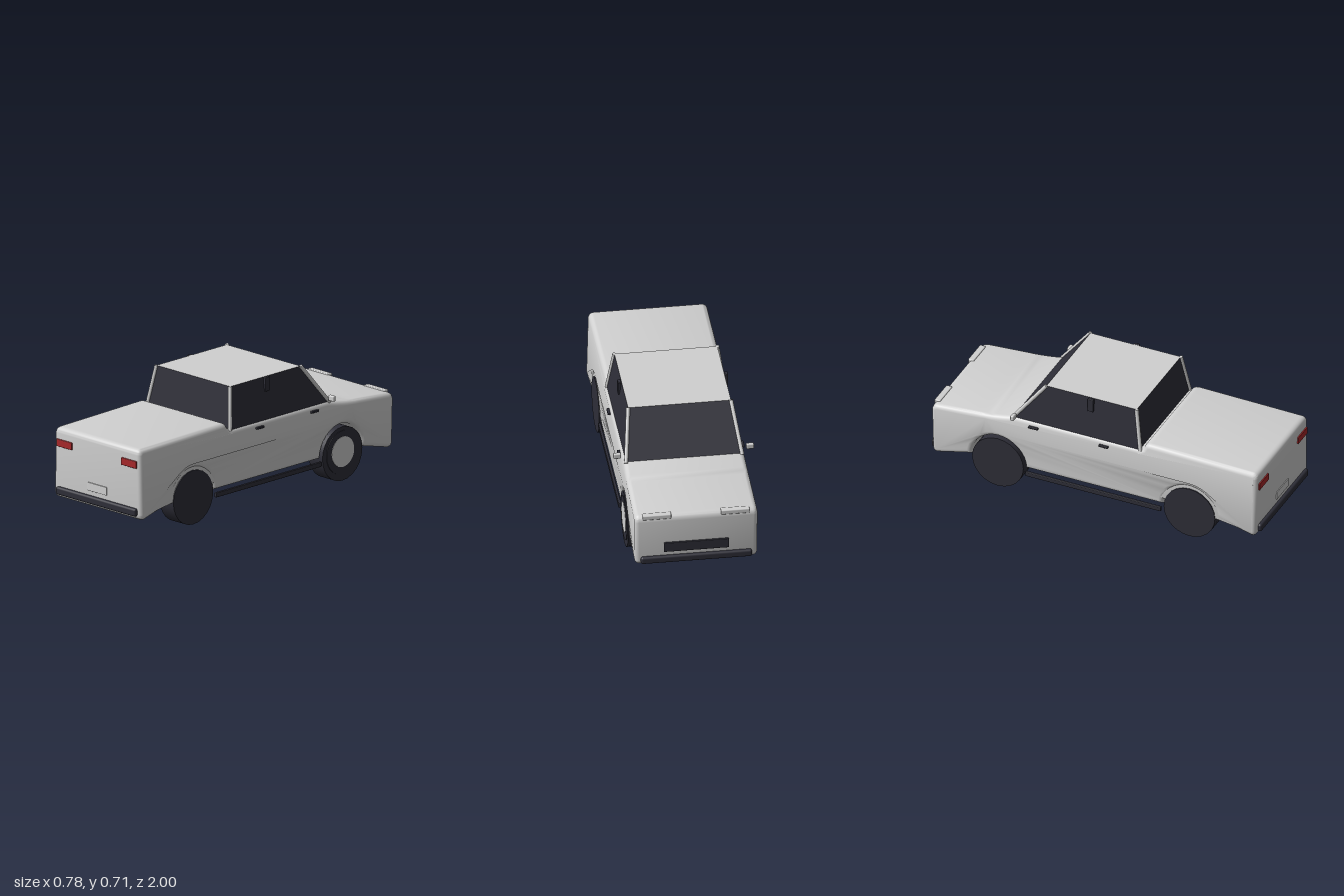
import * as THREE from 'three';
import { toCreasedNormals } from 'three/addons/utils/BufferGeometryUtils.js';
import { RoundedBoxGeometry } from 'three/addons/geometries/RoundedBoxGeometry.js';

const mat = (name, color, side = THREE.FrontSide) => {
  const m = new THREE.MeshStandardMaterial({ color, side });
  m.name = name;
  return m;
};

export function createModel() {
  const car = new THREE.Group();
  car.name = 'pickupCar';
  const paint = mat('paint', 0xd0d0d0);
  const dark = mat('darkTrim', 0x2e2e38);
  const red = mat('tailLightRed', 0xa8282a);

  const add = (name, geo, material, x = 0, y = 0, z = 0) => {
    const m = new THREE.Mesh(geo, material);
    m.name = name;
    m.position.set(x, y, z);
    car.add(m);
    return m;
  };
  const block = (name, w, h, d, material, x, y, z, r = 0.005) =>
    add(name, new RoundedBoxGeometry(w, h, d, 2, r), material, x, y, z);

  // Body: side profile (z, y) with wheel arches, extruded across and rounded
  const s = new THREE.Shape();
  s.moveTo(-0.95, 0.108);
  s.lineTo(-0.745, 0.16);
  s.absarc(-0.58, 0.16, 0.165, Math.PI, 0, true);
  s.lineTo(0.415, 0.16);
  s.absarc(0.58, 0.16, 0.165, Math.PI, 0, true);
  s.lineTo(0.95, 0.103);
  s.quadraticCurveTo(0.978, 0.103, 0.98, 0.135);
  s.lineTo(0.985, 0.475);
  s.quadraticCurveTo(0.985, 0.507, 0.95, 0.508);
  s.lineTo(0.34, 0.519);
  s.quadraticCurveTo(0.305, 0.519, 0.297, 0.497);
  s.quadraticCurveTo(0.29, 0.475, 0.26, 0.475);
  s.lineTo(-0.48, 0.475);
  s.quadraticCurveTo(-0.6, 0.445, -0.72, 0.44);
  s.lineTo(-0.95, 0.422);
  s.quadraticCurveTo(-0.983, 0.419, -0.985, 0.385);
  s.lineTo(-0.98, 0.135);
  s.quadraticCurveTo(-0.978, 0.11, -0.95, 0.108);
  const bevel = 0.025, half = 0.345;
  let body = new THREE.ExtrudeGeometry(s, {
    depth: 2 * (half - bevel), bevelEnabled: true, bevelSize: bevel,
    bevelThickness: bevel, bevelOffset: -bevel, bevelSegments: 4, curveSegments: 8,
  });
  body.translate(0, 0, -(half - bevel)).rotateY(-Math.PI / 2);
  // Flanks lean in towards the top and a little towards the sill
  const p = body.attributes.position;
  for (let i = 0; i < p.count; i++) {
    const y = p.getY(i);
    const lean = y > 0.3 ? 1 - 0.055 * ((y - 0.3) / 0.2) ** 2 : 1 - 0.02 * (0.3 - y) / 0.2;
    p.setX(i, p.getX(i) * lean);
  }
  body = toCreasedNormals(body, 0.7);
  add('body', body, paint);

  // Cabin: tapered box with dark windows and a painted roof
  const y0 = 0.465, y1 = 0.704;
  const corner = (side, front, top) => new THREE.Vector3(
    side * (top ? 0.285 : 0.322), top ? y1 : y0,
    front ? (top ? -0.312 : -0.5) : (top ? 0.235 : 0.275));
  const cabin = new THREE.BoxGeometry(2, 2, 2);
  const c = cabin.attributes.position;
  for (let i = 0; i < c.count; i++) {
    const v = corner(c.getX(i), c.getZ(i) < 0, c.getY(i) > 0);
    c.setXYZ(i, v.x, v.y, v.z);
  }
  cabin.computeVertexNormals();
  add('cabin', cabin, [dark, dark, paint, dark, dark, dark]);

  // Wheels
  const tyre = new THREE.CylinderGeometry(0.155, 0.155, 0.105, 24).rotateZ(Math.PI / 2);
  const up = new THREE.Vector3(0, 1, 0);
  for (const side of [-1, 1]) {
    for (const z of [-0.58, 0.58]) add('wheel', tyre, dark, side * 0.29, 0.156, z);

    // Roof pillars at the cabin corners
    for (const front of [true, false]) {
      const a = corner(side, front, false), b = corner(side, front, true);
      const d = b.clone().sub(a);
      const pillar = add('pillar', new THREE.CylinderGeometry(0.011, 0.011, d.length(), 10), paint);
      pillar.position.copy(a).add(b).multiplyScalar(0.5);
      pillar.quaternion.setFromUnitVectors(up, d.normalize());
    }

    block('doorPost', 0.018, 0.08, 0.034, dark, side * 0.296, 0.663, -0.037, 0.003);
    for (const z of [0.06, -0.365]) block('doorHandle', 0.016, 0.012, 0.056, dark, side * 0.342, 0.444, z, 0.003);
    block('mirror', 0.043, 0.032, 0.022, paint, side * 0.368, 0.502, -0.474, 0.007);
    block('sideSkirt', 0.016, 0.027, 0.82, dark, side * 0.344, 0.133, 0, 0.003);
    block('tailLight', 0.118, 0.042, 0.012, red, side * 0.25, 0.421, 0.986, 0.003);
    block('headlight', 0.158, 0.028, 0.036, paint, side * 0.217, 0.413, -0.968, 0.006);
  }

  // Rim ring and hub cap on the left front wheel
  const disc = (r, w) => new THREE.CylinderGeometry(r, r, w, 28).rotateZ(Math.PI / 2);
  add('rim', disc(0.125, 0.01), dark, 0.341, 0.164, -0.58);
  add('hubCap', disc(0.087, 0.008), paint, 0.344, 0.168, -0.58);

  // Bumpers, grille and blank number plate
  block('rearBumper', 0.615, 0.045, 0.03, dark, 0, 0.147, 0.985, 0.012);
  block('frontBumper', 0.615, 0.042, 0.03, dark, 0, 0.142, -0.985, 0.012);
  block('grille', 0.36, 0.058, 0.016, dark, 0, 0.217, -0.984, 0.003);
  block('numberPlate', 0.149, 0.047, 0.009, paint, 0, 0.219, 0.982, 0.001);

  return car;
}
